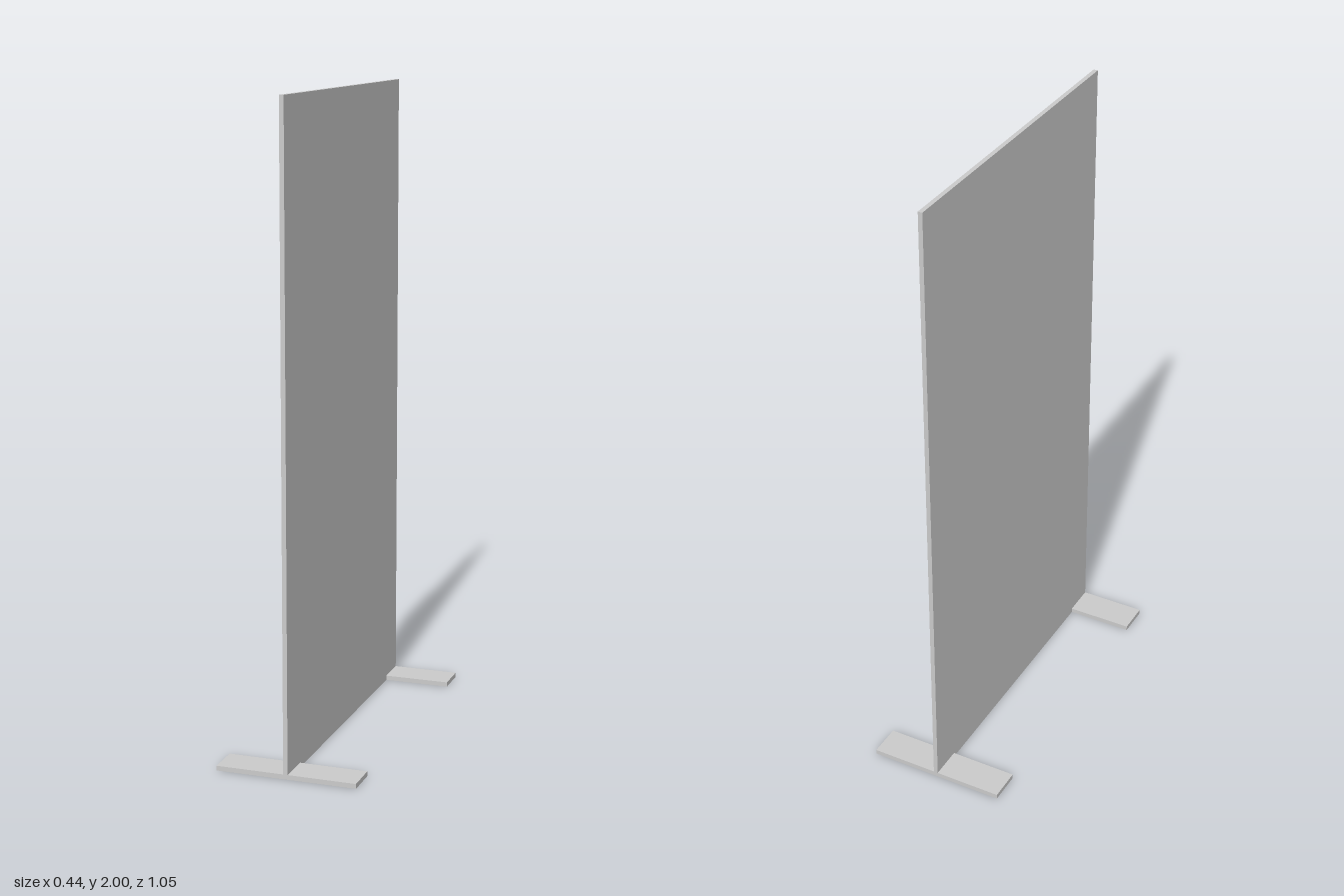
import * as THREE from 'three';

export function createModel() {
  const group = new THREE.Group();
  const material = new THREE.MeshStandardMaterial({ color: 0xcccccc });

  // Adds a box standing on y = 0
  const addBox = (name, width, height, depth, z) => {
    const mesh = new THREE.Mesh(new THREE.BoxGeometry(width, height, depth), material);
    mesh.name = name;
    mesh.position.set(0, height / 2, z);
    group.add(mesh);
  };

  // Tall thin divider panel
  const panelDepth = 1.05;
  addBox('panel', 0.014, 2, panelDepth, 0);

  // Flat foot plates, flush with the panel's two ends
  const footDepth = 0.105;
  for (const [name, side] of [['frontFoot', 1], ['backFoot', -1]]) {
    addBox(name, 0.44, 0.015, footDepth, side * (panelDepth - footDepth) / 2);
  }

  return group;
}
